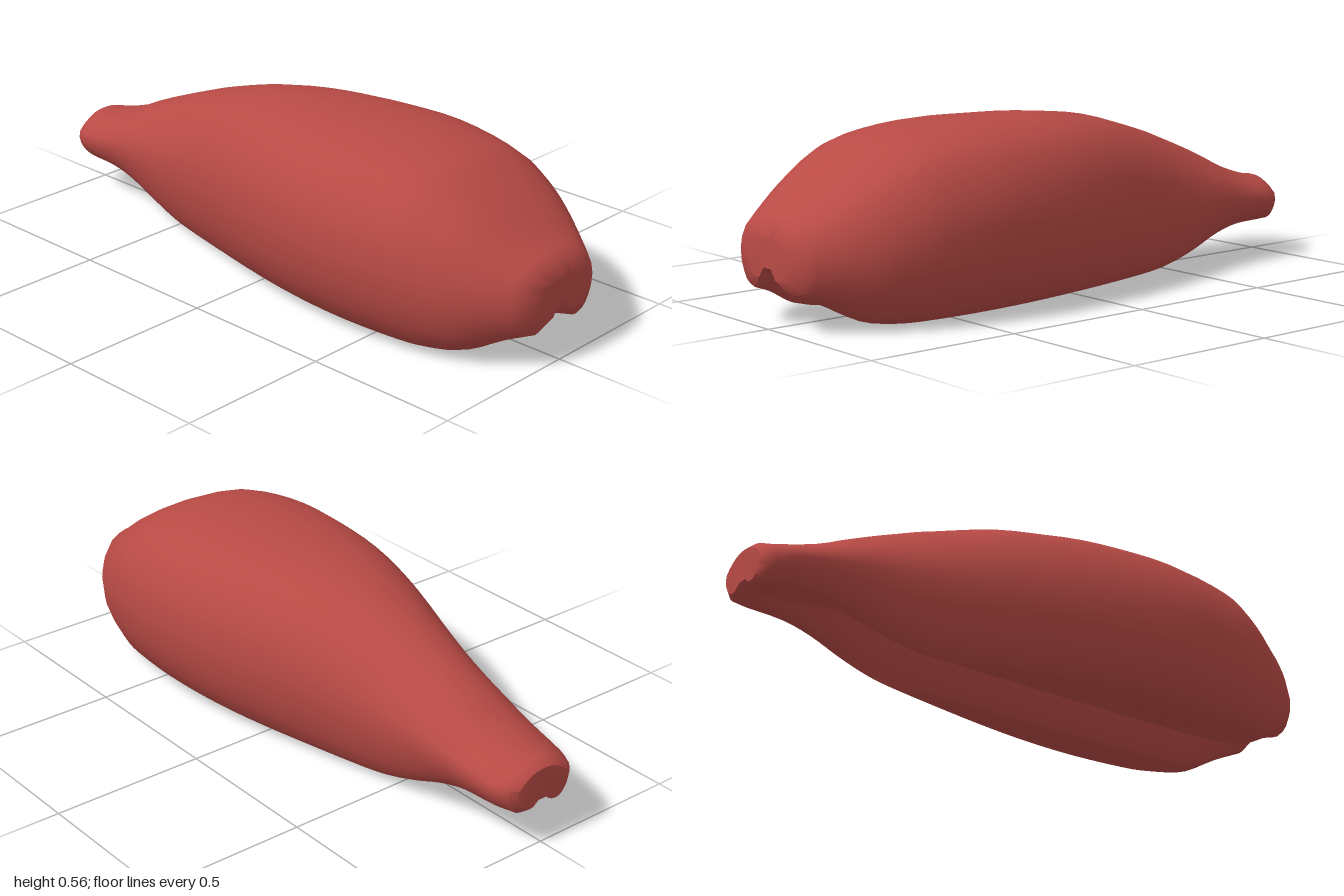
import * as THREE from 'three';
import { toCreasedNormals } from 'three/addons/utils/BufferGeometryUtils.js';

// Stations along the body: [x, top, bottom, half width, groove ceiling, groove half width]
const stations = [
  [-0.98, 0.262, 0.115, 0.125, 0.137, 0.045],
  [-0.92, 0.272, 0.117, 0.149, 0.14, 0.05],
  [-0.8, 0.31, 0.113, 0.161, 0.15, 0.06],
  [-0.7, 0.357, 0.09, 0.172, 0.16, 0.07],
  [-0.6, 0.4, 0.053, 0.186, 0.165, 0.08],
  [-0.5, 0.439, 0.025, 0.204, 0.17, 0.09],
  [-0.4, 0.475, 0.011, 0.225, 0.17, 0.1],
  [-0.2, 0.53, 0.005, 0.277, 0.17, 0.1],
  [0, 0.554, 0.003, 0.326, 0.17, 0.1],
  [0.2, 0.56, 0.001, 0.36, 0.17, 0.1],
  [0.4, 0.56, 0, 0.373, 0.17, 0.1],
  [0.6, 0.535, 0, 0.355, 0.17, 0.1],
  [0.7, 0.497, 0.005, 0.332, 0.168, 0.1],
  [0.8, 0.438, 0.023, 0.295, 0.166, 0.095],
  [0.9, 0.365, 0.075, 0.235, 0.164, 0.08],
  [0.98, 0.317, 0.106, 0.168, 0.163, 0.065],
];

// Outer half profile, as fractions of half width and height: round belly and shouldered neck
const belly = [[0, 1], [0.27, 0.99], [0.48, 0.965], [0.66, 0.92], [0.82, 0.84], [0.95, 0.67], [1, 0.5],
  [0.975, 0.32], [0.91, 0.2], [0.83, 0.095], [0.74, 0.04], [0.58, 0]];
const neck = [[0, 1], [0.24, 0.985], [0.44, 0.94], [0.62, 0.86], [0.8, 0.76], [0.96, 0.63], [1, 0.48],
  [0.95, 0.32], [0.87, 0.19], [0.78, 0.09], [0.68, 0.03], [0.56, 0]];

// One closed cross-section as [z, y] points, starting at the top
function section([x, top, bottom, width, ceiling, groove]) {
  const k = THREE.MathUtils.smoothstep(x, -0.7, 0.2);
  const half = belly.map(([w, h], i) => [
    THREE.MathUtils.lerp(neck[i][0], w, k) * width,
    bottom + THREE.MathUtils.lerp(neck[i][1], h, k) * (top - bottom),
  ]);
  const depth = ceiling - bottom;
  half.push([groove * 1.25, bottom + depth * 0.03], [groove, bottom + depth * 0.15],
    [groove * 0.72, bottom + depth * 0.65], [groove * 0.45, ceiling], [0, ceiling]);
  const mirrored = half.slice(1, -1).reverse().map(([z, y]) => [-z, y]);
  return half.concat(mirrored);
}

function bodyGeometry() {
  // Smooth the stations lengthwise
  const outer = new THREE.CatmullRomCurve3(stations.map((s) => new THREE.Vector3(s[0], s[1], s[2])), false, 'catmullrom');
  const inner = new THREE.CatmullRomCurve3(stations.map((s) => new THREE.Vector3(s[3], s[4], s[5])), false, 'catmullrom');
  const rings = [];
  const steps = (stations.length - 1) * 3;
  for (let i = 0; i <= steps; i++) {
    const a = outer.getPoint(i / steps).toArray();
    const b = inner.getPoint(i / steps).toArray();
    rings.push({ x: a[0], points: section([...a, ...b]) });
  }

  // Slightly domed ends
  const shrink = (ring, x, s, cy) => ({ x, points: ring.points.map(([z, y]) => [z * s, cy + (y - cy) * s]) });
  rings.unshift(shrink(rings[0], -1, 0.8, 0.18));
  rings.push(shrink(rings[rings.length - 1], 1, 0.6, 0.2));

  const n = rings[0].points.length;
  const positions = rings.flatMap((r) => r.points.flatMap(([z, y]) => [r.x, y, z]));
  const index = [];
  for (let i = 0; i < rings.length - 1; i++) {
    for (let j = 0; j < n; j++) {
      const a = i * n + j, b = i * n + ((j + 1) % n);
      index.push(a, b, a + n, b, b + n, a + n);
    }
  }

  // Flat caps, each facing outward
  for (const [r, side] of [[0, -1], [rings.length - 1, 1]]) {
    const pts = rings[r].points.map(([z, y]) => new THREE.Vector2(z, y));
    for (const [a, b, c] of THREE.ShapeUtils.triangulateShape(pts, [])) {
      const facing = -THREE.ShapeUtils.area([pts[a], pts[b], pts[c]]);
      const o = r * n;
      if (facing * side > 0) index.push(o + a, o + b, o + c);
      else index.push(o + a, o + c, o + b);
    }
  }

  const geometry = new THREE.BufferGeometry();
  geometry.setAttribute('position', new THREE.Float32BufferAttribute(positions, 3));
  geometry.setIndex(index);
  return toCreasedNormals(geometry, 0.75);
}

export function createModel() {
  const red = new THREE.MeshStandardMaterial({ color: 0xb84a45 });
  red.name = 'warm red';

  const group = new THREE.Group();
  group.name = 'groovedPod';
  const body = new THREE.Mesh(bodyGeometry(), red);
  body.name = 'body';
  group.add(body);
  return group;
}
